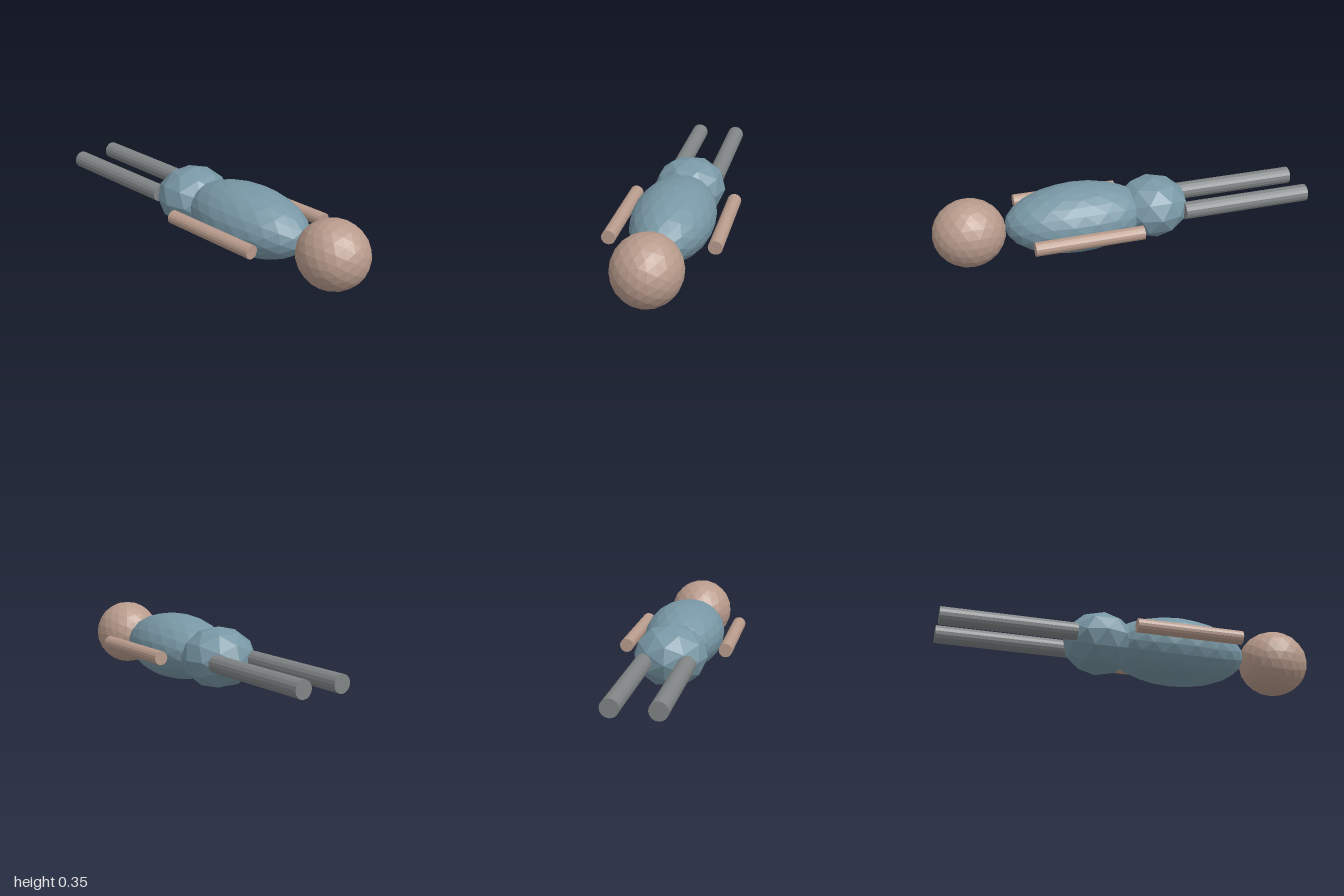
import * as THREE from 'three';

const material = (name, color) => {
  const m = new THREE.MeshStandardMaterial({ color, flatShading: true });
  m.name = name;
  return m;
};

export function createModel() {
  const group = new THREE.Group();
  group.name = 'lyingFigure';
  const skin = material('skin', 0xb89b8c);
  const shirt = material('blueCloth', 0x7897a5);
  const trousers = material('greyCloth', 0x808485);
  const axisY = 0.18; // height of the body axis

  // Faceted ellipsoid centred on the body axis
  const ellipsoid = (name, mat, detail, z, rx, ry, rz) => {
    const geo = new THREE.IcosahedronGeometry(1, detail).scale(rx, ry, rz);
    const mesh = new THREE.Mesh(geo, mat);
    mesh.name = name;
    mesh.position.set(0, axisY, z);
    group.add(mesh);
  };

  // Straight limb running along z between two ends
  const limb = (name, mat, x, radius, z0, z1) => {
    const geo = new THREE.CylinderGeometry(radius, radius, z1 - z0, 16).rotateX(Math.PI / 2);
    const mesh = new THREE.Mesh(geo, mat);
    mesh.name = name;
    mesh.position.set(x, axisY, (z0 + z1) / 2);
    group.add(mesh);
  };

  ellipsoid('head', skin, 3, 0.811, 0.174, 0.176, 0.187);
  ellipsoid('torso', shirt, 3, 0.25, 0.211, 0.176, 0.38);
  ellipsoid('hips', shirt, 1, -0.16, 0.192, 0.16, 0.195);

  // Arms and legs, mirrored
  for (const [side, s] of [['left', 1], ['right', -1]]) {
    limb(side + 'Arm', skin, s * 0.263, 0.036, -0.03, 0.53);
    limb(side + 'Leg', trousers, s * 0.11, 0.046, -1, -0.305);
  }
  return group;
}
